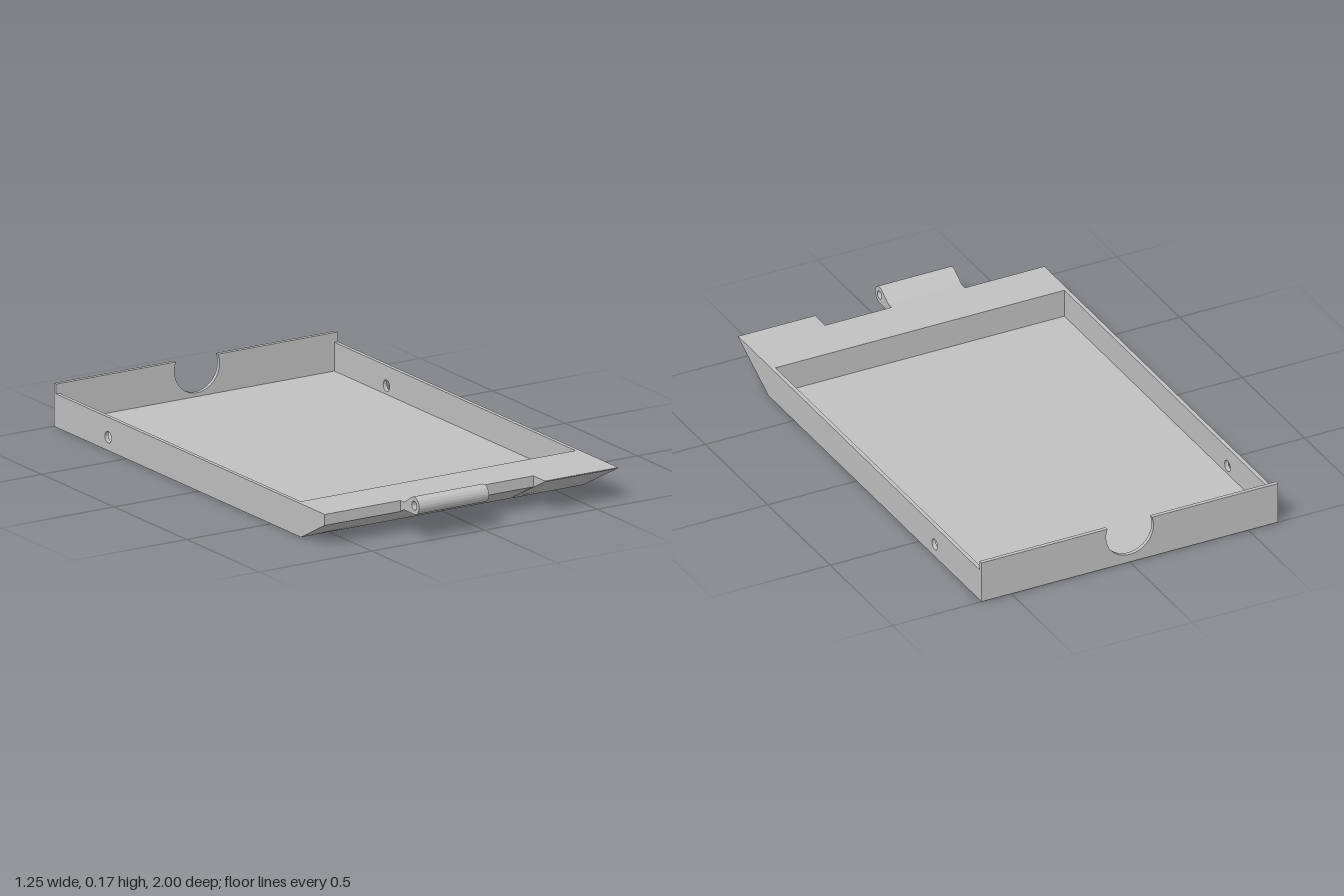
import * as THREE from 'three';
import { toCreasedNormals } from 'three/addons/utils/BufferGeometryUtils.js';

const HALF = 0.625, WALL = 0.016, RIM = 0.13, BACK_TOP = 0.168, FLOOR = 0.018;
const DECK = 0.68;        // z of the inner face of the front deck
const BEVEL = 0.706;      // z where the underside starts to rise
const bevelY = (z) => Math.min((z - BEVEL) * 0.53, RIM - 0.003);

export function createModel() {
  const group = new THREE.Group();
  group.name = 'slidingTray';
  const grey = new THREE.MeshStandardMaterial({ color: 0xc0c0c0 });
  grey.name = 'silver grey';

  const add = (name, geometry) => {
    const mesh = new THREE.Mesh(geometry, grey);
    mesh.name = name;
    group.add(mesh);
  };
  const extrude = (shape, depth) => toCreasedNormals(
    new THREE.ExtrudeGeometry(shape, { depth, bevelEnabled: false, curveSegments: 40 }), 0.5);
  // Side profile drawn in (-z, y), swept along x from x0 to x1
  const sweepX = (shape, x0, x1) => extrude(shape, x1 - x0).rotateY(Math.PI / 2).translate(x0, 0, 0);
  const profile = (points) => new THREE.Shape(points.map(([z, y]) => new THREE.Vector2(-z, y)));
  const hole = (shape, z, y, r) => shape.holes.push(new THREE.Path().absarc(-z, y, r, 0, Math.PI * 2, true));

  // Floor plate
  const inner = HALF - WALL, back = -1 + WALL;
  add('floor', new THREE.BoxGeometry(inner * 2, FLOOR, DECK - back)
    .translate(0, FLOOR / 2, (DECK + back) / 2));

  // Side walls, each with a small pin hole
  for (const [name, x0] of [['rightWall', -HALF], ['leftWall', inner]]) {
    const wall = profile([[DECK, 0], [back, 0], [back, RIM], [DECK, RIM]]);
    hole(wall, -0.625, 0.052, 0.022);
    add(name, sweepX(wall, x0, x0 + WALL));
  }

  // Taller back wall with a round finger notch
  const r = 0.1, cy = 0.133, a = Math.asin((BACK_TOP - cy) / r);
  const backShape = new THREE.Shape();
  backShape.moveTo(-HALF, 0);
  backShape.lineTo(HALF, 0);
  backShape.lineTo(HALF, BACK_TOP);
  backShape.absarc(0, cy, r, a, -Math.PI - a, true);
  backShape.lineTo(-HALF, BACK_TOP);
  backShape.closePath();
  add('backWall', extrude(backShape, WALL).translate(0, 0, -1));

  // Front deck: bevelled underneath, reaching further forward on the left
  for (const [name, x0, x1, z] of [['frontDeck', -HALF, 0.3, 0.87], ['frontDeckTab', 0.3, HALF, 0.95]]) {
    add(name, sweepX(profile([
      [z, RIM], [z, bevelY(z)], [BEVEL, 0], [DECK, 0], [DECK, RIM]]), x0, x1));
  }

  // Hinge knuckle: pierced barrel blended into the deck
  const hz = 0.966, hy = 0.134, hr = 0.034;
  const hinge = new THREE.Shape();
  hinge.moveTo(-0.87, RIM);
  hinge.lineTo(-0.895, RIM);
  hinge.absarc(-hz, hy, hr, 1.01, Math.PI * 1.5, false);
  hinge.lineTo(-0.894, hy - hr);
  hinge.lineTo(-0.87, bevelY(0.87));
  hinge.closePath();
  hole(hinge, hz, hy, 0.017);
  add('hingeKnuckle', sweepX(hinge, -0.29, 0.02));

  return group;
}
